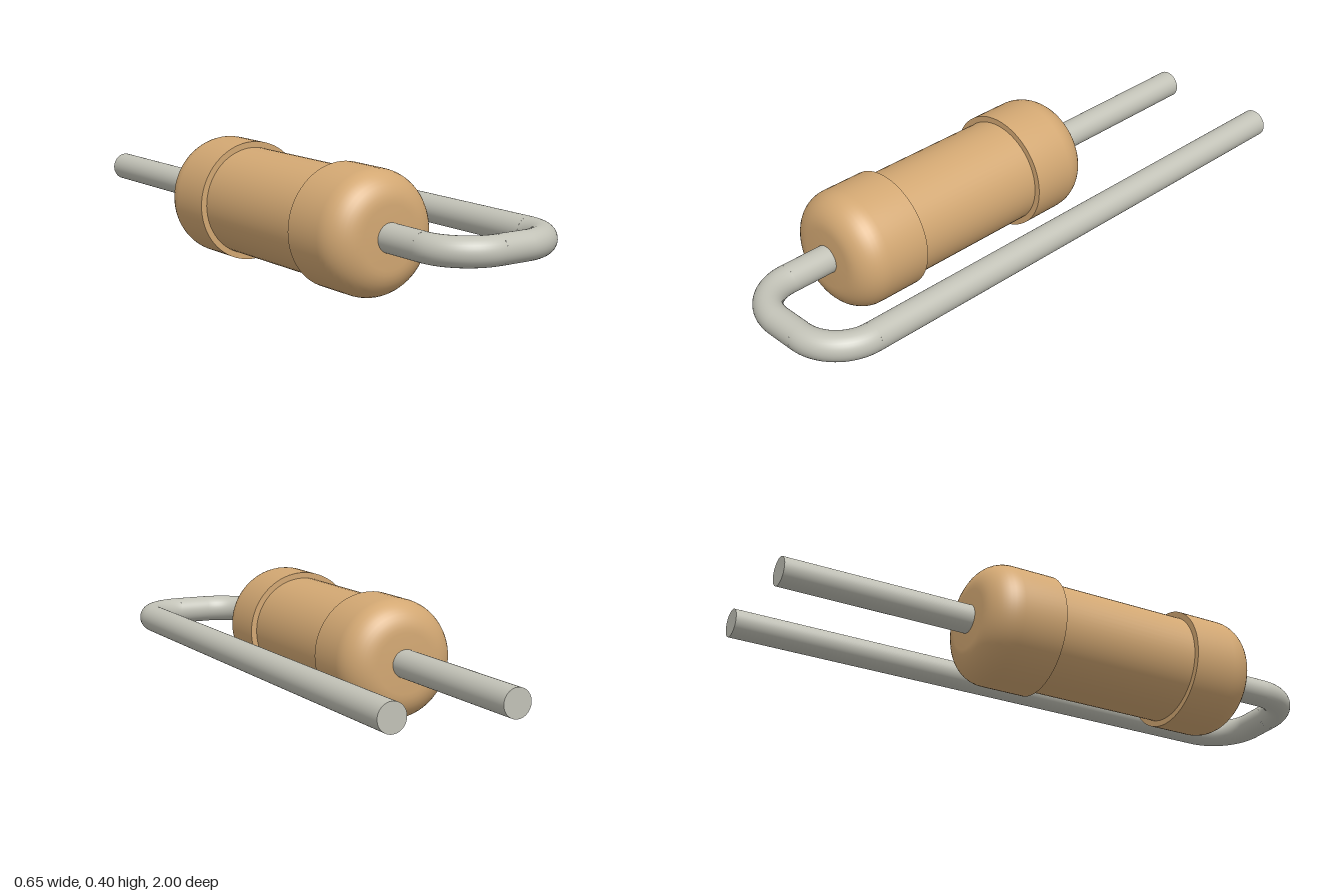
import * as THREE from 'three';
import { toCreasedNormals } from 'three/addons/utils/BufferGeometryUtils.js';

const AXIS_Y = 0.2, BODY_X = -0.128, RETURN_X = 0.279;
const BODY_Z = 0.143, BODY_HALF = 0.502;      // body centre and half length
const CAP_R = 0.2, CAP_LEN = 0.25, FILLET = 0.1, BARREL_R = 0.18;
const WIRE_R = 0.047, BEND_R = 0.15, BEND_Z = 0.803, BACK_Z = -1;

export function createModel() {
  const tan = new THREE.MeshStandardMaterial({ color: 0xd3a873 });
  tan.name = 'tan ceramic';
  const metal = new THREE.MeshStandardMaterial({ color: 0xc2c2b7 });
  metal.name = 'grey metal';

  const model = new THREE.Group();
  model.name = 'resistor';
  const add = (name, geometry, material, x, y, z) => {
    const mesh = new THREE.Mesh(geometry, material);
    mesh.name = name;
    mesh.position.set(x, y, z);
    model.add(mesh);
  };

  // Straight rods lying along z or x
  const rodZ = (r, z0, z1) => new THREE.CylinderGeometry(r, r, z1 - z0, 64)
    .rotateX(Math.PI / 2).translate(0, 0, (z0 + z1) / 2);

  // Body: slim barrel between two rounded end caps
  const seam = BODY_HALF - CAP_LEN;
  add('barrel', rodZ(BARREL_R, -seam - 0.02, seam + 0.02), tan, BODY_X, AXIS_Y, BODY_Z);

  const profile = [[BARREL_R - 0.02, 0], [CAP_R, 0]].map(p => new THREE.Vector2(...p));
  for (let i = 0; i <= 10; i++) {
    const a = i / 10 * Math.PI / 2;
    profile.push(new THREE.Vector2(CAP_R - FILLET + FILLET * Math.cos(a),
      CAP_LEN - FILLET + FILLET * Math.sin(a)));
  }
  profile.push(new THREE.Vector2(0, CAP_LEN));
  for (const [name, side] of [['frontCap', 1], ['backCap', -1]]) {
    const cap = toCreasedNormals(new THREE.LatheGeometry(profile, 72), 0.6);
    cap.rotateX(side * Math.PI / 2);
    add(name, cap, tan, BODY_X, AXIS_Y, BODY_Z + side * seam);
  }

  // Wire: lead through the body, folded back alongside it
  add('axialLead', rodZ(WIRE_R, BACK_Z, BEND_Z), metal, BODY_X, AXIS_Y, 0);
  add('returnLead', rodZ(WIRE_R, BACK_Z, BEND_Z), metal, RETURN_X, AXIS_Y, 0);

  const bend = turn => new THREE.TorusGeometry(BEND_R, WIRE_R, 32, 20, Math.PI / 2)
    .rotateZ(turn).rotateX(Math.PI / 2);
  const x0 = BODY_X + BEND_R, x1 = RETURN_X - BEND_R;
  add('bendRight', bend(Math.PI / 2), metal, x0, AXIS_Y, BEND_Z);
  add('bendLeft', bend(0), metal, x1, AXIS_Y, BEND_Z);
  add('crossWire', new THREE.CylinderGeometry(WIRE_R, WIRE_R, x1 - x0, 64, 1, true)
    .rotateZ(Math.PI / 2), metal, (x0 + x1) / 2, AXIS_Y, BEND_Z + BEND_R);

  return model;
}
